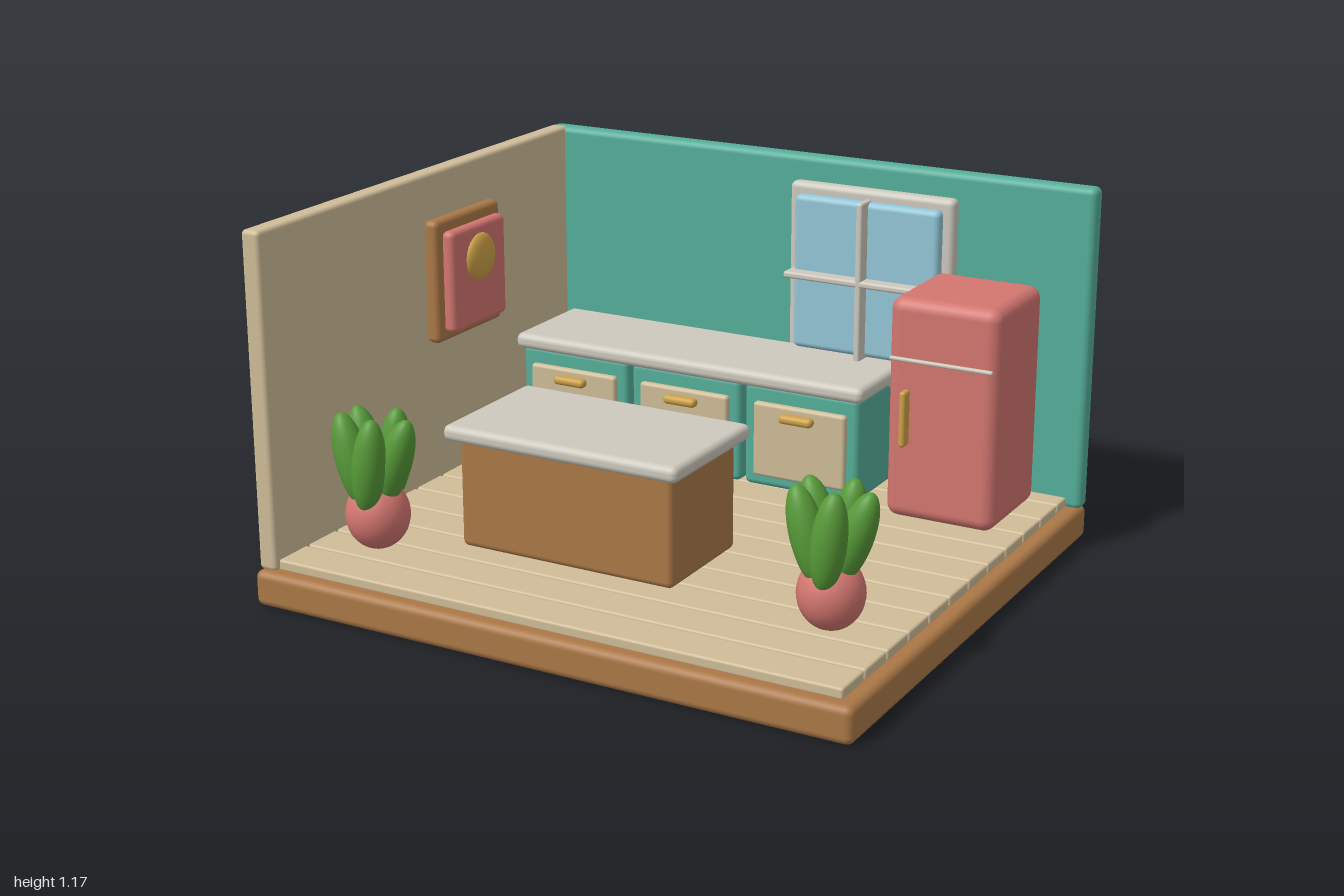
import * as THREE from 'three';
import { RoundedBoxGeometry } from 'three/addons/geometries/RoundedBoxGeometry.js';

const mat = (name, color) => {
  const m = new THREE.MeshStandardMaterial({ color });
  m.name = name;
  return m;
};

export function createModel() {
  const teal = mat('teal paint', 0x55ae9a);
  const cream = mat('cream wood', 0xcfbc98);
  const brown = mat('brown wood', 0xab7847);
  const coral = mat('coral enamel', 0xd37670);
  const stone = mat('pale stone', 0xcdc9be);
  const gold = mat('brass', 0xcda147);
  const green = mat('leaf green', 0x579a38);
  const glass = mat('window glass', 0x93c6d6);

  const model = new THREE.Group();
  model.name = 'kitchenRoom';

  const group = (name) => {
    const g = new THREE.Group();
    g.name = name;
    model.add(g);
    return g;
  };

  // Rounded box given by its limits on each axis
  const box = (parent, name, material, [x0, x1], [y0, y1], [z0, z1], radius = 0.02) => {
    const w = x1 - x0, h = y1 - y0, d = z1 - z0;
    const r = Math.min(radius, Math.min(w, h, d) * 0.49);
    const mesh = new THREE.Mesh(new RoundedBoxGeometry(w, h, d, 3, r), material);
    mesh.name = name;
    mesh.position.set((x0 + x1) / 2, (y0 + y1) / 2, (z0 + z1) / 2);
    parent.add(mesh);
    return mesh;
  };

  const ball = new THREE.SphereGeometry(1, 28, 20);
  const ellipsoid = (parent, name, material, pos, radii) => {
    const mesh = new THREE.Mesh(ball, material);
    mesh.name = name;
    mesh.position.set(...pos);
    mesh.scale.set(...radii);
    parent.add(mesh);
    return mesh;
  };

  // Room shell
  box(model, 'base', brown, [-1, 1], [0, 0.115], [-0.888, 0.888], 0.025);
  box(model, 'backWall', teal, [-1, 1], [0.107, 1.17], [-0.888, -0.822], 0.022);
  box(model, 'sideWall', cream, [-1, -0.935], [0.11, 1.17], [-0.85, 0.86], 0.015);

  // Floor planks
  const floor = group('floor');
  for (let i = 0; i < 12; i++) {
    const z = -0.817 + i * 0.1445;
    box(floor, 'plank', cream, [-0.945, 0.95], [0.11, 0.145], [z - 0.068, z + 0.068], 0.008);
  }

  // Wall counter with three cabinets
  const counter = group('counter');
  for (let i = 0; i < 3; i++) {
    const x = -0.67 + i * 0.425;
    box(counter, 'cabinet', teal, [x - 0.205, x + 0.205], [0.145, 0.495], [-0.77, -0.44]);
    box(counter, 'cabinetDoor', cream, [x - 0.165, x + 0.165], [0.185, 0.438], [-0.455, -0.422], 0.012);
    box(counter, 'cabinetHandle', gold, [x - 0.06, x + 0.06], [0.388, 0.418], [-0.425, -0.388], 0.014);
  }
  box(counter, 'counterTop', stone, [-0.89, 0.405], [0.487, 0.54], [-0.785, -0.412], 0.022);

  // Island
  const island = group('island');
  box(island, 'islandBody', brown, [-0.52, 0.22], [0.145, 0.5], [0.08, 0.475]);
  box(island, 'islandTop', stone, [-0.555, 0.255], [0.49, 0.542], [0.042, 0.515], 0.022);

  // Fridge
  const fridge = group('fridge');
  box(fridge, 'fridgeBody', coral, [0.5, 0.867], [0.145, 0.865], [-0.757, -0.39], 0.04);
  box(fridge, 'fridgeSeam', stone, [0.512, 0.855], [0.667, 0.679], [-0.391, -0.376], 0.005);
  box(fridge, 'fridgeHandle', gold, [0.563, 0.585], [0.398, 0.58], [-0.387, -0.342], 0.01);

  // Window, stacked in layers out from the wall
  const win = group('window');
  box(win, 'windowFrame', stone, [-0.036, 0.548], [0.51, 1.092], [-0.824, -0.77]);
  box(win, 'windowPane', glass, [0, 0.516], [0.54, 1.06], [-0.775, -0.728]);
  box(win, 'windowBar', stone, [0.245, 0.267], [0.53, 1.067], [-0.76, -0.682], 0.008);
  box(win, 'windowBar', stone, [-0.013, 0.528], [0.787, 0.809], [-0.76, -0.682], 0.008);
  box(win, 'windowSill', stone, [-0.08, 0.595], [0.475, 0.518], [-0.79, -0.655]);

  // Wall picture
  const picture = group('wallPicture');
  box(picture, 'pictureFrame', brown, [-0.937, -0.884], [0.618, 1.024], [-0.33, 0.04]);
  box(picture, 'picturePanel', coral, [-0.89, -0.843], [0.65, 0.988], [-0.3, 0.01]);
  ellipsoid(picture, 'pictureDisc', gold, [-0.845, 0.877, -0.145], [0.031, 0.079, 0.079]);

  // Potted plants, five leaves leaning sideways
  for (const [x, z] of [[-0.743, 0.595], [0.739, 0.482]]) {
    const plant = group('pottedPlant');
    plant.position.set(x, 0, z);
    ellipsoid(plant, 'pot', coral, [0, 0.25, 0], [0.1, 0.11, 0.1]);
    for (let i = 0; i < 5; i++) {
      const a = (i / 5) * Math.PI * 2;
      const leaf = ellipsoid(plant, 'leaf', green,
        [Math.cos(a) * 0.07, 0.425, Math.sin(a) * 0.07], [0.052, 0.152, 0.052]);
      leaf.rotation.z = -Math.cos(a) * 0.34;
    }
  }

  return model;
}
